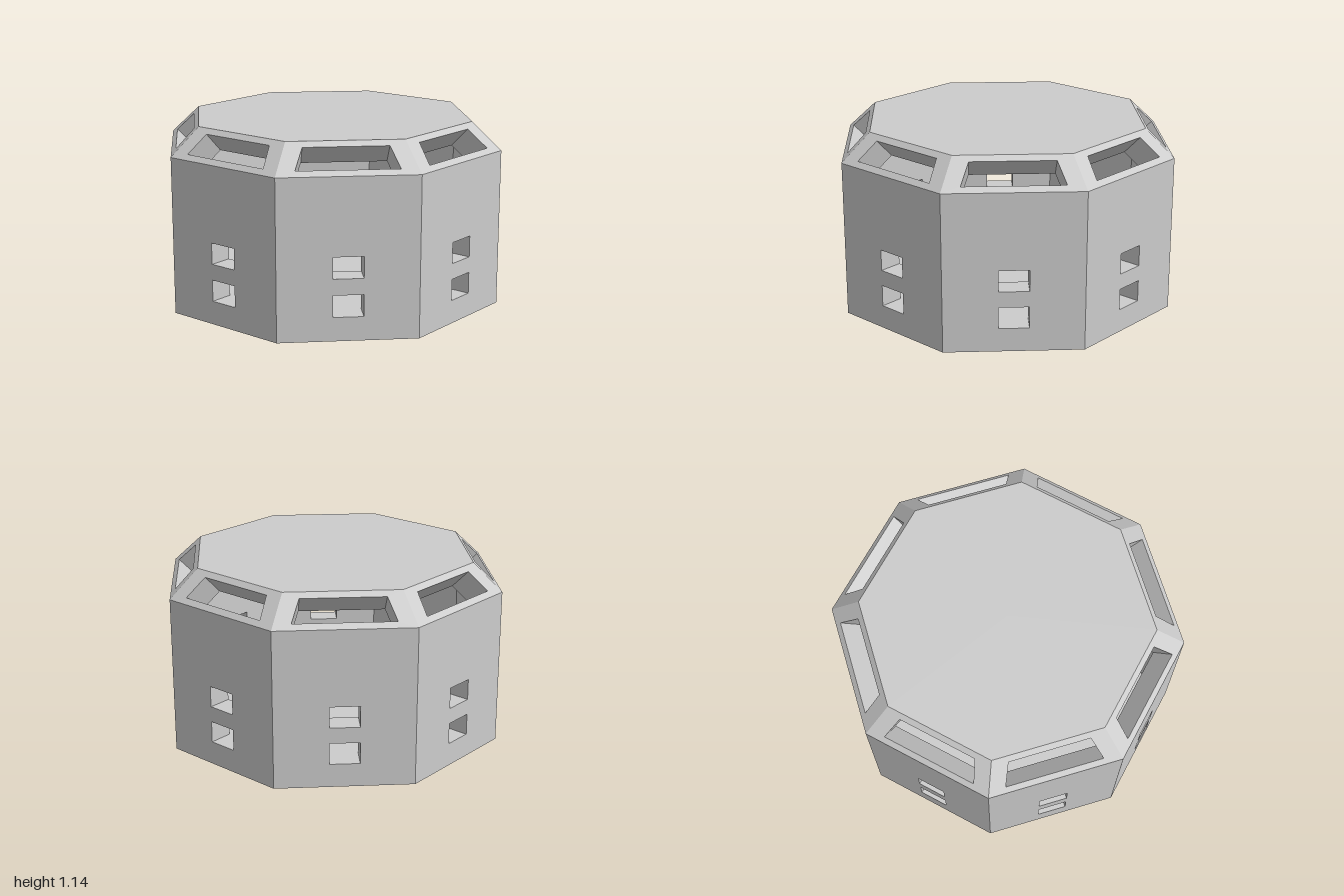
import * as THREE from 'three';
import { mergeGeometries } from 'three/addons/utils/BufferGeometryUtils.js';

const SIDES = 8;
const TAN = Math.tan(Math.PI / SIDES); // half side length per unit of apothem
const WALL = 0.145; // shell thickness
const INNER = 1 - WALL; // inner apothem
const EAVE = 0.975, TOP = 1.145, ROOF = 0.83; // wall top, roof height, roof apothem

const material = new THREE.MeshStandardMaterial({ color: 0xcccccc, flatShading: true });

// Counter-clockwise symmetric trapezoid
const trapezoid = (w0, y0, w1, y1) => [[-w0, y0], [w0, y0], [w1, y1], [-w1, y1]];

const toPoints = (pts) => pts.map(([x, y]) => new THREE.Vector2(x, y));

// Flat face with holes at depth z; flipped faces look towards -z
function face(outline, holes, z, flip) {
  const shape = new THREE.Shape(toPoints(outline));
  shape.holes = holes.map((h) => new THREE.Path(toPoints(h)));
  const g = new THREE.ShapeGeometry(shape).translate(0, 0, z);
  if (flip) g.index.array.reverse();
  const flat = g.toNonIndexed();
  flat.deleteAttribute('uv');
  flat.computeVertexNormals();
  return flat;
}

// Reveal running from the outer face to the inner face around one opening
function reveal(hole, depth) {
  const pos = [];
  hole.forEach(([ax, ay], i) => {
    const [bx, by] = hole[(i + 1) % hole.length];
    pos.push(ax, ay, 0, bx, by, 0, bx, by, -depth);
    pos.push(ax, ay, 0, bx, by, -depth, ax, ay, -depth);
  });
  const g = new THREE.BufferGeometry();
  g.setAttribute('position', new THREE.Float32BufferAttribute(pos, 3));
  g.computeVertexNormals();
  return g;
}

// Upright wall with two stacked windows
function wallGeometry() {
  const windows = [[0.145, 0.277], [0.375, 0.505]].map(([y0, y1]) => trapezoid(0.09, y0, 0.09, y1));
  return mergeGeometries([
    face(trapezoid(TAN, 0, TAN, EAVE), windows, 0, false),
    face(trapezoid(INNER * TAN, WALL - 0.01, INNER * TAN, 0.89), windows, -WALL, true),
    ...windows.map((w) => reveal(w, WALL)),
  ]).translate(0, 0, 1);
}

// Sloping panel with one wide skylight; only corner strips remain on its inner side
function slopeGeometry() {
  const depth = 0.163, s0 = 0.042, s1 = 0.198;
  const skylight = trapezoid(0.3, s0, 0.25, s1);
  const strip = [[0.3, s0], [INNER * TAN, s0], [0.745 * TAN, s1], [0.25, s1]];
  const mirrored = strip.map(([x, y]) => [-x, y]).reverse();
  return mergeGeometries([
    face(trapezoid(TAN, 0, ROOF * TAN, (TOP - EAVE) * Math.SQRT2), [skylight], 0, false),
    face(strip, [], -depth, true),
    face(mirrored, [], -depth, true),
    reveal(skylight, depth),
  ]).rotateX(-Math.PI / 4).translate(0, EAVE, 1);
}

// Octagonal plate facing up or down
function octagon(apothem, y, up) {
  const g = new THREE.CircleGeometry(apothem / Math.cos(Math.PI / SIDES), SIDES, Math.PI / SIDES);
  return g.rotateX(up ? -Math.PI / 2 : Math.PI / 2).translate(0, y, 0);
}

export function createModel() {
  const model = new THREE.Group();
  model.name = 'octagonalBuilding';
  const add = (name, geometry, turn = 0) => {
    const mesh = new THREE.Mesh(geometry, material);
    mesh.name = name;
    mesh.rotation.y = turn;
    model.add(mesh);
  };

  // Eight identical sides
  const wall = wallGeometry(), slope = slopeGeometry();
  for (let i = 0; i < SIDES; i++) {
    const turn = (i * 2 * Math.PI) / SIDES;
    add('wall', wall, turn);
    add('skylightPanel', slope, turn);
  }

  // Floor and roof slabs
  add('floor', mergeGeometries([octagon(1, 0, false), octagon(INNER, WALL, true)]));
  add('roof', mergeGeometries([octagon(ROOF, TOP, true), octagon(0.745, 1.0, false)]));
  return model;
}
